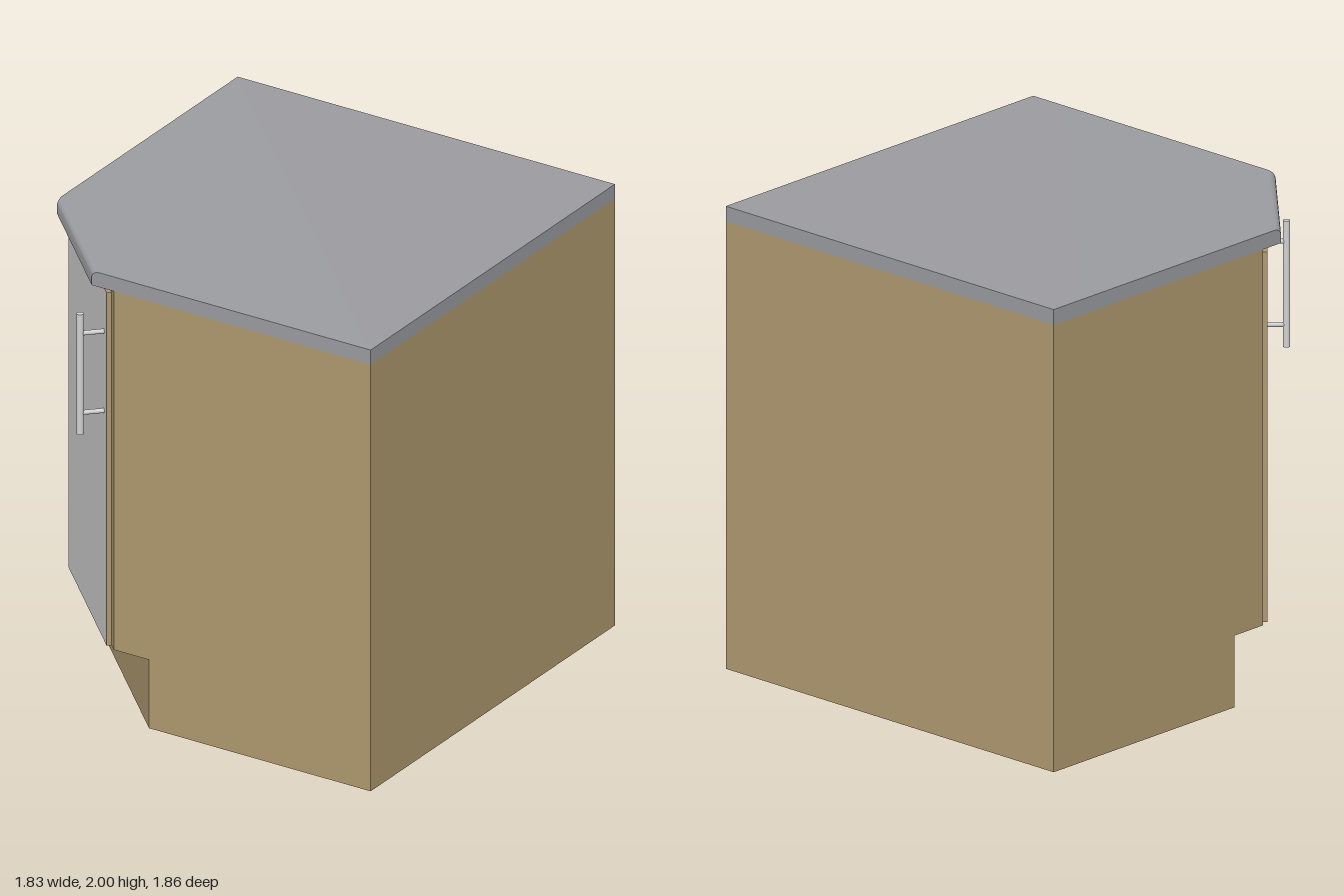
import * as THREE from 'three';
import { toCreasedNormals } from 'three/addons/utils/BufferGeometryUtils.js';

const W = 0.915, BACK = -0.93, FRONT = 0.9;

// Square plan with its front right corner cut along z = x + k
function outline(y, k) {
  return [
    [-W, y, BACK], [-W, y, k - W], [FRONT - k, y, FRONT], [W, y, FRONT], [W, y, BACK],
  ];
}

// Solid stacked from horizontal layers [y, k], bottom to top
function cornerSolid(layers) {
  const rings = layers.map(([y, k]) => outline(y, k));
  const pos = [];
  const tri = (a, b, c) => pos.push(...a, ...b, ...c);
  for (let l = 0; l + 1 < rings.length; l++) {
    const lo = rings[l], hi = rings[l + 1];
    for (let i = 0; i < 5; i++) {
      const j = (i + 1) % 5;
      tri(lo[i], lo[j], hi[j]);
      tri(lo[i], hi[j], hi[i]);
    }
  }
  const bottom = rings[0], top = rings[rings.length - 1];
  for (let i = 1; i < 4; i++) {
    tri(top[0], top[i], top[i + 1]);
    tri(bottom[0], bottom[i + 1], bottom[i]);
  }
  const geo = new THREE.BufferGeometry();
  geo.setAttribute('position', new THREE.Float32BufferAttribute(pos, 3));
  return toCreasedNormals(geo, 0.6);
}

function material(name, color) {
  const m = new THREE.MeshStandardMaterial({ color });
  m.name = name;
  return m;
}

export function createModel() {
  const wood = material('wood', 0xb09a70);
  const stone = material('worktopGrey', 0x9c9da1);
  const paint = material('doorGrey', 0xd0d0d0);
  const steel = material('handleSteel', 0xd2d2d2);

  const model = new THREE.Group();
  model.name = 'cornerCabinet';
  const add = (parent, name, geo, mat, x = 0, y = 0, z = 0) => {
    const mesh = new THREE.Mesh(geo, mat);
    mesh.name = name;
    mesh.position.set(x, y, z);
    parent.add(mesh);
    return mesh;
  };

  // Body: recessed plinth below, carcass above
  add(model, 'plinth', cornerSolid([[0, 1.06], [0.31, 1.06]]), wood);
  add(model, 'carcass', cornerSolid([[0.31, 1.23], [1.935, 1.23]]), wood);

  // Worktop, overhanging the door, with a rounded upper edge
  const layers = [[1.935, 1.338]];
  const r = 0.028, steps = 6;
  for (let i = 0; i <= steps; i++) {
    const a = (i / steps) * Math.PI / 2;
    layers.push([2 - r + r * Math.sin(a), 1.338 - r * Math.SQRT2 * (1 - Math.cos(a))]);
  }
  add(model, 'worktop', cornerSolid(layers), stone);

  // Diagonal door: local +z points out of the cut corner
  const door = new THREE.Group();
  door.name = 'door';
  door.position.set(-0.6225, 0, 0.6075);
  door.rotation.y = -Math.PI / 4;
  model.add(door);
  const T = 0.021;
  add(door, 'doorPanel', new THREE.BoxGeometry(0.742, 1.6, T),
    [wood, wood, wood, wood, paint, wood], 0, 1.11, T / 2);

  // Bar handle on two posts
  const hx = 0.315, hz = 0.12;
  add(door, 'handleBar', new THREE.CylinderGeometry(0.015, 0.015, 0.545, 24), steel, hx, 1.5275, hz);
  for (const y of [1.35, 1.71]) {
    const post = add(door, 'handlePost', new THREE.CylinderGeometry(0.01, 0.01, hz - T, 16),
      steel, hx, y, (hz + T) / 2);
    post.rotation.x = Math.PI / 2;
  }
  return model;
}
